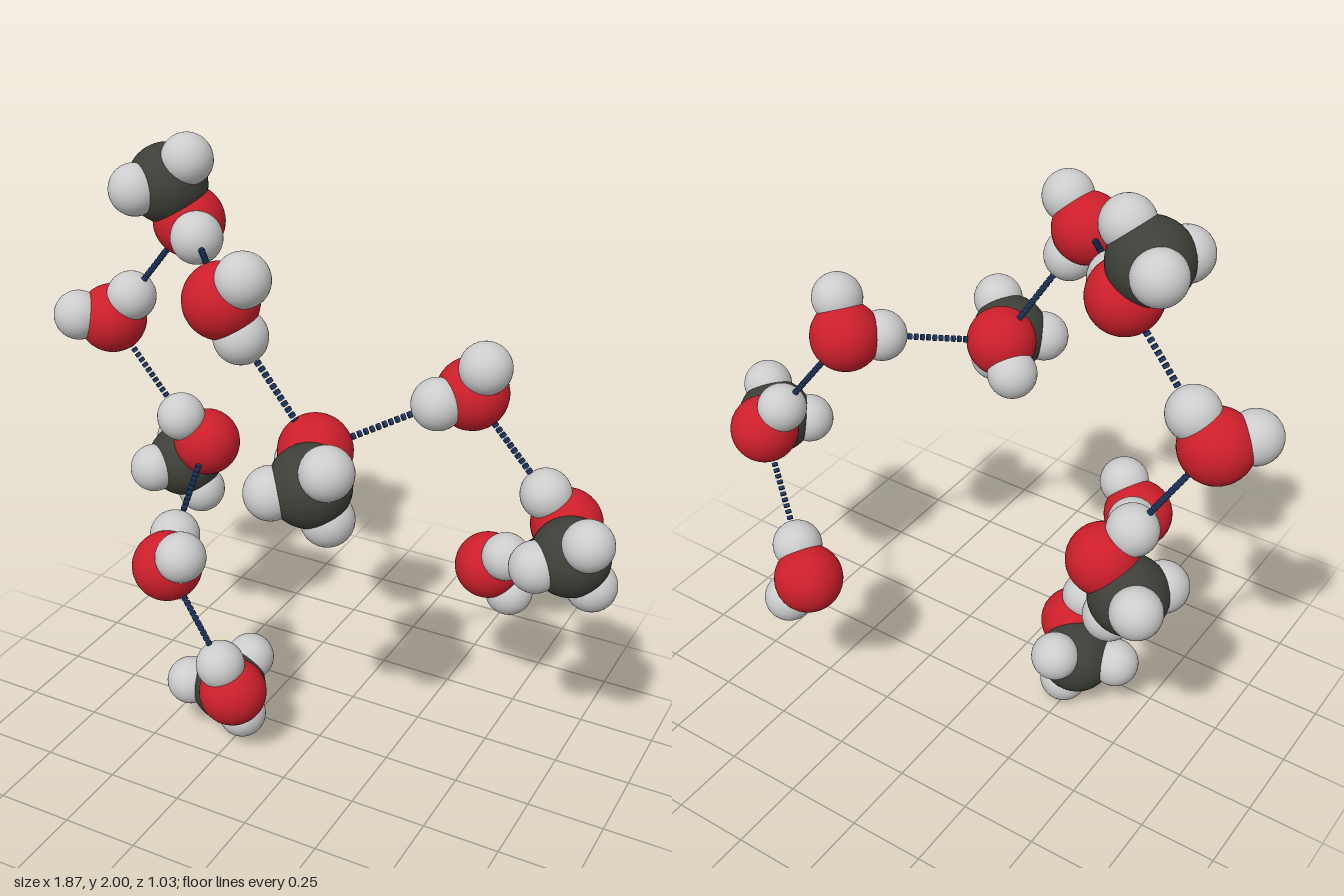
import * as THREE from 'three';

const material = (name, color) => {
  const m = new THREE.MeshStandardMaterial({ color });
  m.name = name;
  return m;
};

// Oxygen, its hydrogens, and for methanol the three methyl hydrogens
const MOLECULES = {
  methanolBottom: { o: [-0.209, 0.249, 0.209], h: [[-0.24, 0.358, 0.23]],
    methyl: [[-0.405, 0.196, 0.155], [-0.24, 0.082, 0.103], [-0.255, 0.254, 0.017]] },
  waterLowerLeft: { o: [-0.38, 0.725, 0.295], h: [[-0.302, 0.798, 0.335], [-0.415, 0.775, 0.192]] },
  methanolLeft: { o: [-0.515, 0.92, -0.17], h: [[-0.578, 1.02, -0.118]],
    methyl: [[-0.68, 0.86, -0.26], [-0.55, 0.73, -0.18], [-0.67, 0.825, -0.08]] },
  waterUpperLeft: { o: [-0.778, 1.355, -0.05], h: [[-0.706, 1.44, -0.06], [-0.858, 1.375, 0.02]] },
  methanolTop: { o: [-0.474, 1.725, -0.055], h: [[-0.392, 1.712, 0.035]],
    methyl: [[-0.457, 1.923, -0.03], [-0.59, 1.835, 0.055], [-0.605, 1.85, -0.12]] },
  waterTop: { o: [-0.134, 1.662, 0.325], h: [[-0.055, 1.74, 0.338], [-0.08, 1.562, 0.315]] },
  methanolMiddle: { o: [0.118, 1.225, 0.248], h: [[0.045, 1.155, 0.2]],
    methyl: [[0.242, 1.26, 0.415], [0.215, 1.08, 0.357], [0.075, 1.165, 0.432]] },
  waterRight: { o: [0.44, 1.322, -0.125], h: [[0.49, 1.425, -0.093], [0.367, 1.307, -0.04]] },
  methanolRight: { o: [0.73, 0.917, -0.214], h: [[0.665, 1.012, -0.193]],
    methyl: [[0.852, 0.957, -0.05], [0.852, 0.785, -0.118], [0.705, 0.86, -0.023]] },
  waterLowerRight: { o: [0.412, 0.575, -0.413], h: [[0.487, 0.65, -0.37], [0.482, 0.48, -0.435]] },
};

// Hydrogen bonds: donor molecule, index of its hydrogen, acceptor molecule
const BONDS = [
  ['methanolBottom', 0, 'waterLowerLeft'],
  ['waterLowerLeft', 1, 'methanolLeft'],
  ['methanolLeft', 0, 'waterUpperLeft'],
  ['waterUpperLeft', 0, 'methanolTop'],
  ['methanolTop', 0, 'waterTop'],
  ['waterTop', 1, 'methanolMiddle'],
  ['waterRight', 1, 'methanolMiddle'],
  ['methanolRight', 0, 'waterRight'],
  ['waterLowerRight', 0, 'methanolRight'],
];

export function createModel() {
  const model = new THREE.Group();
  model.name = 'molecularCluster';

  const red = material('oxygenRed', 0xcc1f2b);
  const white = material('hydrogenWhite', 0xcccccc);
  const dark = material('carbonDark', 0x3d4038);
  const blue = material('bondBlue', 0x1f3864);

  const ball = (r) => new THREE.SphereGeometry(r, 36, 24);
  const atoms = {
    oxygen: [ball(0.11), red],
    hydrogen: [ball(0.079), white],
    carbon: [ball(0.122), dark],
  };
  const addAtom = (group, kind, position) => {
    const mesh = new THREE.Mesh(...atoms[kind]);
    mesh.name = kind;
    mesh.position.copy(position);
    group.add(mesh);
  };
  const vec = (p) => new THREE.Vector3(...p);

  // Molecules
  for (const [name, { o, h, methyl }] of Object.entries(MOLECULES)) {
    const group = new THREE.Group();
    group.name = name;
    const oxygen = vec(o);
    addAtom(group, 'oxygen', oxygen);
    h.forEach((p) => addAtom(group, 'hydrogen', vec(p)));
    if (methyl) {
      // The carbon sits between the methyl hydrogens, pulled toward the oxygen
      const carbon = new THREE.Vector3();
      methyl.forEach((p) => {
        carbon.addScaledVector(vec(p), 1 / 3);
        addAtom(group, 'hydrogen', vec(p));
      });
      addAtom(group, 'carbon', carbon.lerp(oxygen, 0.22));
    }
    model.add(group);
  }

  // Dashed hydrogen bonds made of short discs
  const step = 0.02;
  const disc = new THREE.CylinderGeometry(0.01, 0.01, 0.011, 12);
  const up = new THREE.Vector3(0, 1, 0);
  for (const [donor, index, acceptor] of BONDS) {
    const start = vec(MOLECULES[donor].h[index]);
    const end = vec(MOLECULES[acceptor].o);
    const direction = end.clone().sub(start);
    const length = direction.length();
    direction.normalize();
    const bond = new THREE.Group();
    bond.name = 'hydrogenBond';
    for (let d = 0.07; d < length - 0.095; d += step) {
      const dash = new THREE.Mesh(disc, blue);
      dash.name = 'bondDash';
      dash.position.copy(start).addScaledVector(direction, d);
      dash.quaternion.setFromUnitVectors(up, direction);
      bond.add(dash);
    }
    model.add(bond);
  }

  return model;
}
